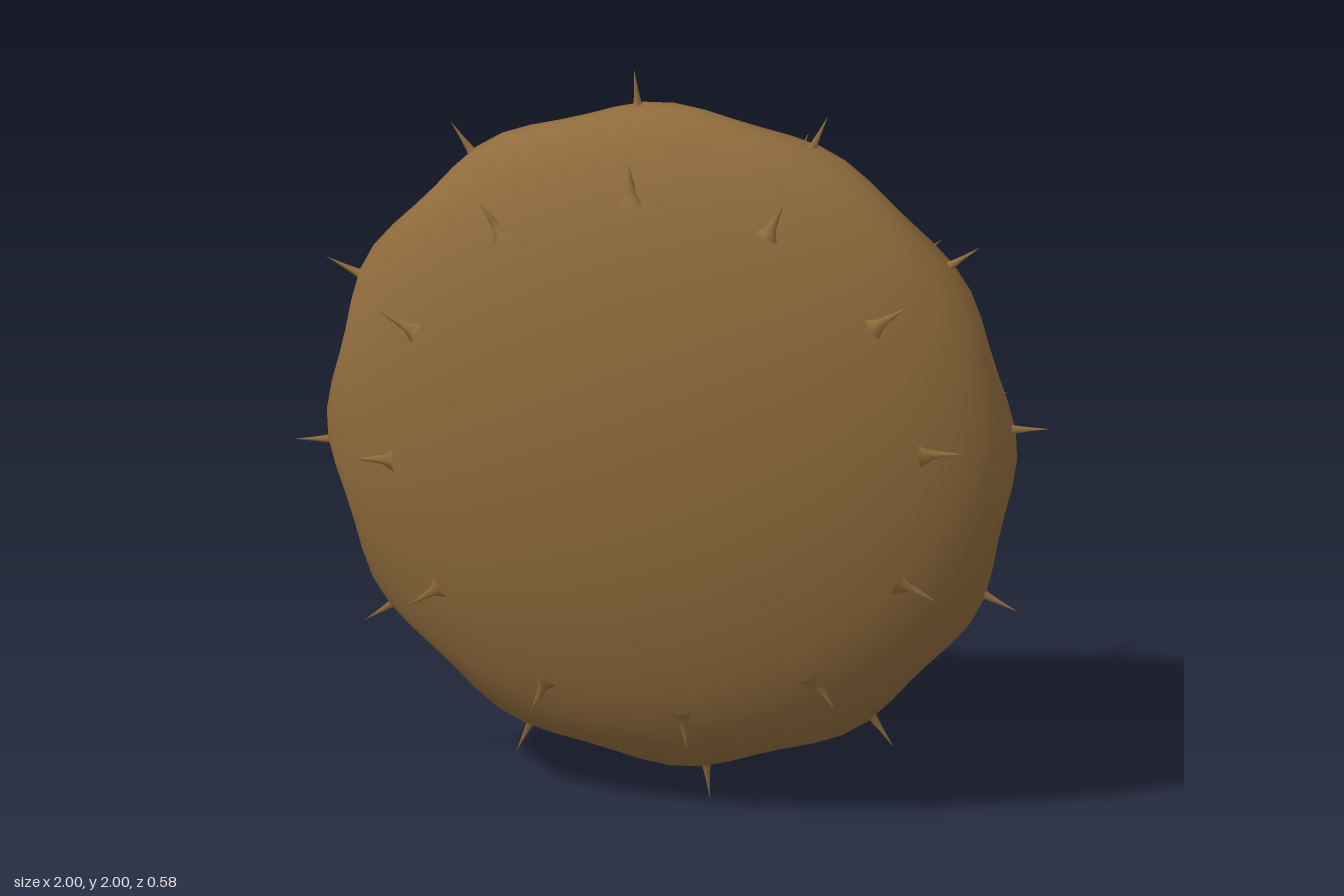
import * as THREE from 'three';

const RADIUS = 0.9, HALF_DEPTH = 0.29, COUNT = 12;

export function createModel() {
  const group = new THREE.Group();
  const brown = new THREE.MeshStandardMaterial({ color: 0x8f6b3c });
  brown.name = 'brown';

  // Flattened round body, its poles facing front and back
  const bodyGeo = new THREE.SphereGeometry(1, 72, 40);
  bodyGeo.rotateX(Math.PI / 2);
  bodyGeo.scale(RADIUS, RADIUS, HALF_DEPTH);
  const pos = bodyGeo.attributes.position;
  for (let i = 0; i < pos.count; i++) {
    // Swell the rim slightly at each thorn
    const x = pos.getX(i), y = pos.getY(i);
    const rim = Math.pow(Math.hypot(x, y) / RADIUS, 12);
    const wave = Math.cos(COUNT * (Math.atan2(x, y) + 0.04));
    const k = 1 + rim * (0.001 + 0.013 * wave);
    pos.setXY(i, x * k, y * k);
  }
  const body = new THREE.Mesh(bodyGeo, brown);
  body.name = 'body';
  body.position.y = 1;
  group.add(body);

  // Ring of thorns with flared roots, pointing outwards from the centre
  function thornRing(name, z, start, tip, phase, root) {
    const ring = new THREE.Group();
    ring.name = name;
    const h = tip - start;
    const profile = [[root, 0], [root * 0.42, h * 0.26], [root * 0.22, h * 0.55], [0, h]]
      .map(([r, y]) => new THREE.Vector2(r, y));
    const geo = new THREE.LatheGeometry(profile, 6);
    for (let i = 0; i < COUNT; i++) {
      const a = phase + (i * 2 * Math.PI) / COUNT;
      const thorn = new THREE.Mesh(geo, brown);
      thorn.name = 'thorn';
      thorn.position.set(Math.sin(a) * start, 1 + Math.cos(a) * start, z);
      thorn.rotation.z = -a;
      ring.add(thorn);
    }
    group.add(ring);
  }

  thornRing('rimThorns', 0, 0.88, 1.005, -0.1, 0.026);
  thornRing('frontThorns', 0.166, 0.7, 0.81, -0.095, 0.034);
  thornRing('backThorns', -0.185, 0.7, 0.855, -0.14, 0.03);

  return group;
}
